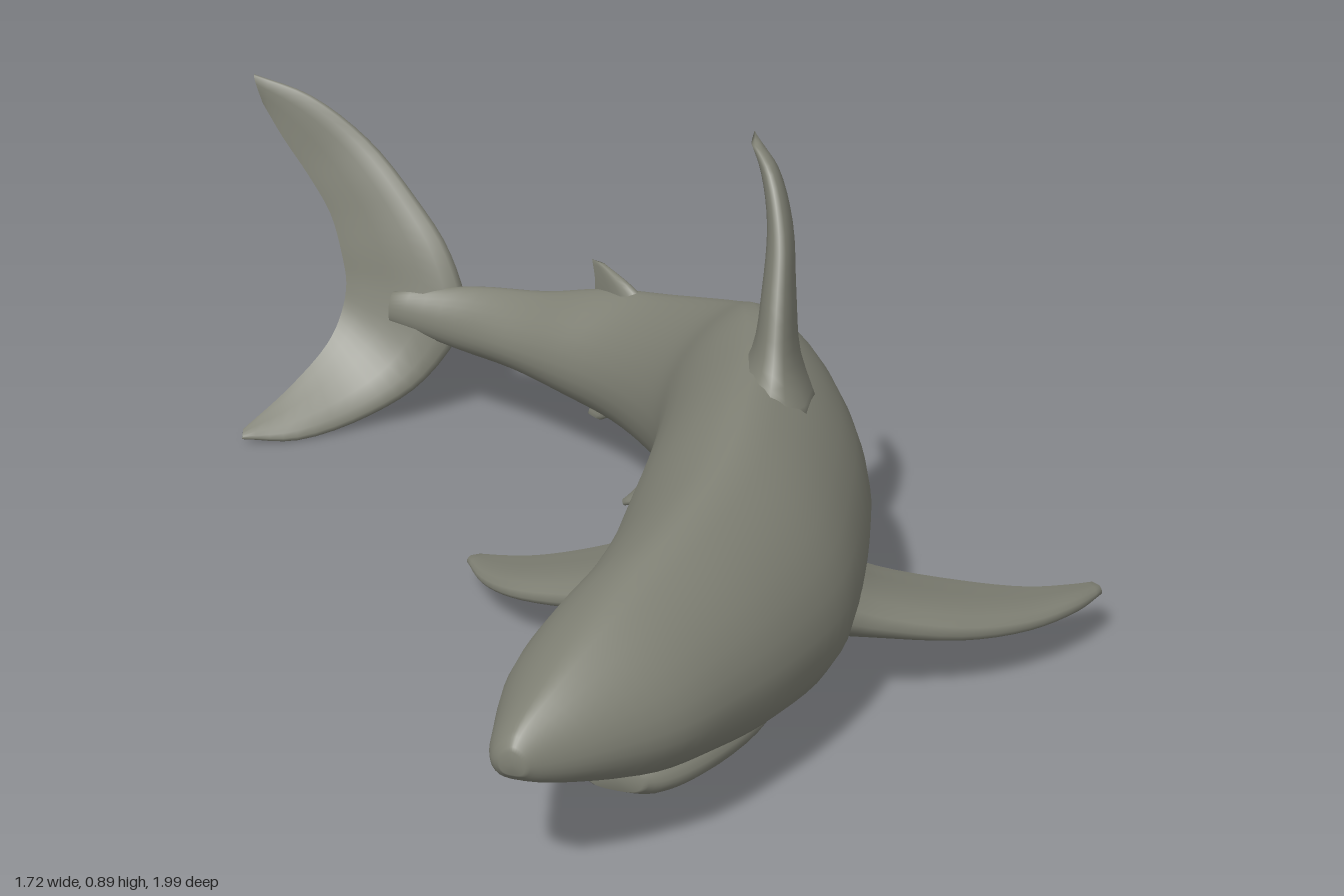
import * as THREE from 'three';

const V = (x, y, z) => new THREE.Vector3(x, y, z);

// Skin a smooth closed surface over rings that all have the same point count
function loft(rings, steps) {
  const n = rings[0].length;
  const rows = (rings.length - 1) * steps;
  const lines = rings[0].map((_, j) => new THREE.CatmullRomCurve3(rings.map((r) => r[j])));
  const pos = [], idx = [];
  for (let i = 0; i <= rows; i++) {
    for (const line of lines) pos.push(...line.getPoint(i / rows).toArray());
  }
  for (let i = 0; i < rows; i++) {
    for (let j = 0; j < n; j++) {
      const a = i * n + j, b = i * n + (j + 1) % n;
      idx.push(a, b, a + n, b, b + n, a + n);
    }
  }
  // end caps
  [[rings[0], 0], [rings[rings.length - 1], rows * n]].forEach(([ring, start], end) => {
    const c = pos.length / 3;
    const mid = ring.reduce((s, p) => s.add(p), V(0, 0, 0)).divideScalar(n);
    pos.push(mid.x, mid.y, mid.z);
    for (let j = 0; j < n; j++) {
      const a = start + j, b = start + (j + 1) % n;
      if (end) idx.push(c, a, b); else idx.push(c, b, a);
    }
  });
  // turn the faces outward if the enclosed volume is negative
  const at = (k) => V(pos[3 * k], pos[3 * k + 1], pos[3 * k + 2]);
  let volume = 0;
  for (let k = 0; k < idx.length; k += 3) {
    volume += at(idx[k]).dot(at(idx[k + 1]).cross(at(idx[k + 2])));
  }
  if (volume < 0) idx.reverse();
  const g = new THREE.BufferGeometry();
  g.setAttribute('position', new THREE.Float32BufferAttribute(pos, 3));
  g.setIndex(idx);
  g.computeVertexNormals();
  return g;
}

// Half outline of the trunk: side 0..1, height 0..1, from back ridge to belly
const HALF = [[0, 1], [0.24, 0.96], [0.56, 0.84], [0.85, 0.65], [1, 0.42], [0.95, 0.22], [0.7, 0.06], [0.35, 0.005], [0, 0]];
const OUTLINE = new THREE.CatmullRomCurve3(
  [...HALF, ...HALF.slice(1, -1).reverse().map(([s, t]) => [-s, t])].map(([s, t]) => V(s, t, 0)), true
).getPoints(32).slice(0, 32);

// Station: right x, right z, left x, left z, top y, bottom y
function trunk(stations, steps) {
  return loft(stations.map(([rx, rz, lx, lz, top, bottom]) => OUTLINE.map((p) => {
    const u = (p.x + 1) / 2;
    return V(rx + (lx - rx) * u, bottom + (top - bottom) * p.y, rz + (lz - rz) * u);
  })), steps);
}

// Fin section: leading point, trailing point, thickness
const FOIL = [[0, 0], [0.04, 0.45], [0.14, 0.85], [0.32, 1], [0.6, 0.65], [0.85, 0.25], [1, 0.04]];
function fin(sections, steps = 4) {
  const mids = sections.map(([l, t]) => V(...l).lerp(V(...t), 0.5));
  return loft(sections.map(([l, t, thick], i) => {
    const lead = V(...l), trail = V(...t);
    const span = mids[Math.min(i + 1, mids.length - 1)].clone().sub(mids[Math.max(i - 1, 0)]);
    const normal = trail.clone().sub(lead).cross(span).normalize();
    const point = (u, h) => lead.clone().lerp(trail, u).addScaledVector(normal, h * thick / 2);
    return [...FOIL.map(([u, h]) => point(u, h)), ...FOIL.slice(1).reverse().map(([u, h]) => point(u, -h))];
  }), steps);
}

export function createModel() {
  const model = new THREE.Group();
  model.name = 'shark';
  const skin = new THREE.MeshStandardMaterial({ color: 0x7f8074 });
  skin.name = 'grey skin';
  const add = (name, geometry) => {
    const mesh = new THREE.Mesh(geometry, skin);
    mesh.name = name;
    model.add(mesh);
  };

  // Trunk from snout to tail stalk, bending to the right
  add('body', trunk([
    [-0.11, 0.985, -0.07, 0.995, 0.275, 0.235],
    [-0.127, 0.96, -0.035, 0.98, 0.3, 0.215],
    [-0.132, 0.88, 0.05, 0.935, 0.345, 0.185],
    [-0.13, 0.76, 0.16, 0.85, 0.395, 0.145],
    [-0.1, 0.65, 0.25, 0.73, 0.435, 0.115],
    [-0.06, 0.55, 0.33, 0.6, 0.465, 0.09],
    [-0.02, 0.4, 0.405, 0.43, 0.497, 0.07],
    [0.01, 0.2, 0.432, 0.24, 0.53, 0.07],
    [0.035, 0, 0.435, 0.02, 0.55, 0.08],
    [0.04, -0.15, 0.395, -0.17, 0.545, 0.085],
    [0.02, -0.3, 0.34, -0.36, 0.485, 0.09],
    [-0.04, -0.44, 0.25, -0.52, 0.43, 0.095],
    [-0.12, -0.55, 0.14, -0.66, 0.385, 0.11],
    [-0.22, -0.63, 0, -0.765, 0.355, 0.13],
    [-0.32, -0.71, -0.16, -0.835, 0.315, 0.15],
    [-0.43, -0.79, -0.36, -0.885, 0.295, 0.16],
    [-0.57, -0.845, -0.55, -0.875, 0.27, 0.2],
  ], 4));

  // Lower jaw hanging under the snout
  add('lowerJaw', trunk([
    [0.0, 0.76, 0.09, 0.785, 0.135, 0.085],
    [-0.015, 0.73, 0.13, 0.765, 0.15, 0.07],
    [-0.025, 0.66, 0.19, 0.71, 0.17, 0.063],
    [-0.01, 0.54, 0.27, 0.58, 0.18, 0.063],
    [0.04, 0.4, 0.32, 0.42, 0.18, 0.072],
  ], 4));

  // Tall back fin, its tip curling to the right
  add('dorsalFin', fin([
    [[0.255, 0.48, 0.25], [0.265, 0.48, -0.24], 0.16],
    [[0.262, 0.55, 0.17], [0.268, 0.56, -0.18], 0.085],
    [[0.265, 0.65, 0.12], [0.268, 0.66, -0.15], 0.06],
    [[0.265, 0.76, 0.06], [0.262, 0.77, -0.13], 0.045],
    [[0.245, 0.85, 0], [0.24, 0.84, -0.12], 0.032],
    [[0.217, 0.887, -0.05], [0.213, 0.893, -0.11], 0.015],
  ]));

  // Side fins, swept back; the right one points further down
  add('leftPectoralFin', fin([
    [[0.36, 0.2, 0.38], [0.36, 0.17, 0.06], 0.12],
    [[0.45, 0.165, 0.345], [0.45, 0.14, 0.06], 0.08],
    [[0.6, 0.125, 0.285], [0.6, 0.115, 0.055], 0.055],
    [[0.72, 0.105, 0.205], [0.72, 0.1, 0.04], 0.04],
    [[0.81, 0.097, 0.11], [0.8, 0.093, 0.01], 0.03],
    [[0.855, 0.092, 0.035], [0.84, 0.09, -0.01], 0.015],
  ]));
  add('rightPectoralFin', fin([
    [[0.09, 0.19, 0.32], [0.09, 0.17, -0.01], 0.11],
    [[0, 0.155, 0.275], [0.02, 0.14, -0.02], 0.075],
    [[-0.1, 0.12, 0.21], [-0.08, 0.105, -0.033], 0.055],
    [[-0.2, 0.09, 0.13], [-0.17, 0.08, -0.05], 0.04],
    [[-0.265, 0.066, 0.035], [-0.235, 0.062, -0.08], 0.028],
    [[-0.305, 0.052, -0.07], [-0.285, 0.05, -0.107], 0.014],
  ]));

  // Small fins under the belly
  add('leftPelvicFin', fin([
    [[0.19, 0.12, -0.28], [0.17, 0.12, -0.4], 0.04],
    [[0.215, 0.085, -0.31], [0.19, 0.08, -0.42], 0.028],
    [[0.235, 0.055, -0.38], [0.22, 0.052, -0.435], 0.012],
  ]));
  add('rightPelvicFin', fin([
    [[0.08, 0.14, -0.22], [0.05, 0.13, -0.34], 0.04],
    [[0.02, 0.105, -0.25], [0, 0.095, -0.35], 0.028],
    [[-0.033, 0.075, -0.29], [-0.03, 0.07, -0.335], 0.012],
  ]));
  add('analFin', fin([
    [[-0.03, 0.15, -0.61], [-0.12, 0.16, -0.7], 0.04],
    [[-0.07, 0.11, -0.64], [-0.13, 0.115, -0.7], 0.025],
    [[-0.11, 0.08, -0.67], [-0.14, 0.08, -0.7], 0.01],
  ]));
  add('secondDorsalFin', fin([
    [[0, 0.345, -0.61], [-0.125, 0.33, -0.71], 0.05],
    [[-0.05, 0.385, -0.645], [-0.125, 0.37, -0.71], 0.025],
    [[-0.105, 0.407, -0.7], [-0.132, 0.408, -0.722], 0.01],
  ]));

  // Crescent tail, lower tip to upper tip
  add('tailFin', fin([
    [[-0.85, 0.015, -0.655], [-0.85, 0.03, -0.672], 0.012],
    [[-0.74, 0.003, -0.685], [-0.77, 0.085, -0.765], 0.025],
    [[-0.6, 0.03, -0.765], [-0.7, 0.155, -0.845], 0.035],
    [[-0.49, 0.095, -0.815], [-0.675, 0.21, -0.88], 0.045],
    [[-0.41, 0.225, -0.845], [-0.665, 0.27, -0.897], 0.055],
    [[-0.44, 0.35, -0.875], [-0.675, 0.33, -0.912], 0.045],
    [[-0.52, 0.46, -0.92], [-0.7, 0.41, -0.935], 0.035],
    [[-0.62, 0.565, -0.965], [-0.75, 0.49, -0.957], 0.028],
    [[-0.74, 0.65, -0.985], [-0.8, 0.56, -0.973], 0.02],
    [[-0.86, 0.69, -0.995], [-0.843, 0.63, -0.988], 0.012],
  ]));

  return model;
}
